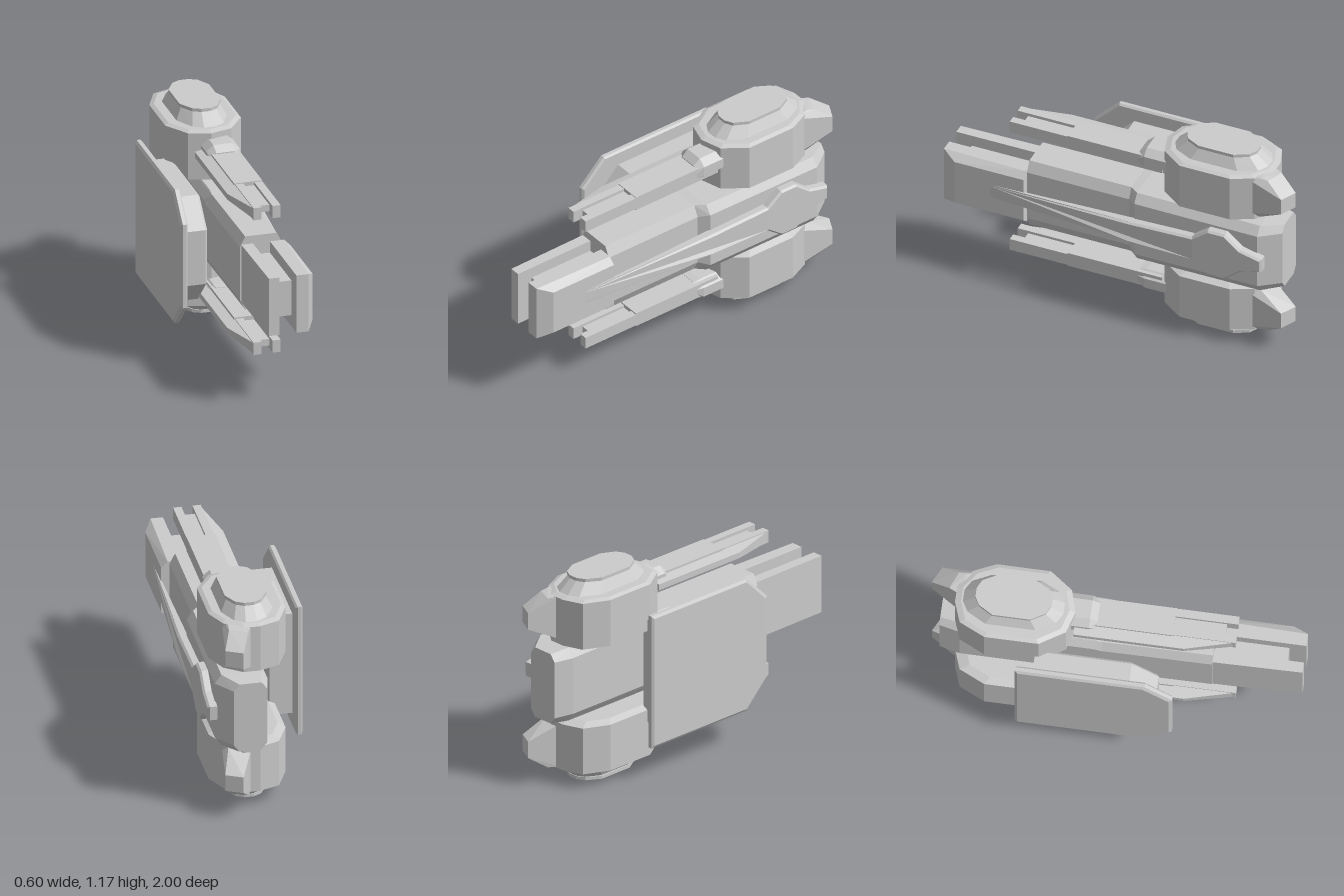
import * as THREE from 'three';
import { ConvexGeometry } from 'three/addons/geometries/ConvexGeometry.js';

const MID = 0.5875; // height of the mirror plane between upper and lower halves

export function createModel() {
  const model = new THREE.Group();
  const mat = new THREE.MeshStandardMaterial({ color: 0xcccccc, flatShading: true });

  function add(parent, name, geometry) {
    const mesh = new THREE.Mesh(geometry, mat);
    mesh.name = name;
    parent.add(mesh);
    return mesh;
  }
  // Convex solid spanning several rings of [x, y, z] points
  const hull = (...rings) =>
    new ConvexGeometry(rings.flat().map((p) => new THREE.Vector3(...p)));
  const box = (x0, x1, y0, y1, z0, z1) =>
    new THREE.BoxGeometry(x1 - x0, y1 - y0, z1 - z0)
      .translate((x0 + x1) / 2, (y0 + y1) / 2, (z0 + z1) / 2);
  // Cross-section in x and y with cut corners, at depth z
  const section = (z, x0, x1, y0, y1, cx, cy) => [
    [x0 + cx, y0, z], [x1 - cx, y0, z], [x1, y0 + cy, z], [x1, y1 - cy, z],
    [x1 - cx, y1, z], [x0 + cx, y1, z], [x0, y1 - cy, z], [x0, y0 + cy, z],
  ];
  // Plan outline [x, z] placed at height y
  const plan = (y, pts) => pts.map(([x, z]) => [x, y, z]);
  // Side outline [z, y] placed at x
  const side = (x, pts) => pts.map(([z, y]) => [x, y, z]);

  // --- Central body ---
  const body = new THREE.Group();
  body.name = 'centralBody';
  model.add(body);
  add(body, 'frontBlock', hull(
    section(0.52, -0.03, 0.205, 0.38, 0.8, 0.03, 0.06),
    section(-0.1, -0.035, 0.205, 0.38, 0.8, 0.03, 0.06)));
  add(body, 'rearBlock', hull(
    section(-0.07, -0.035, 0.205, 0.38, 0.8, 0.03, 0.06),
    section(-0.12, -0.035, 0.25, 0.375, 0.805, 0.035, 0.05),
    section(-0.83, -0.035, 0.25, 0.375, 0.8, 0.035, 0.05),
    section(-0.94, -0.01, 0.17, 0.385, 0.79, 0.03, 0.04)));
  add(body, 'leftProng', hull(
    plan(0.425, [[-0.022, 0.5], [-0.015, 1], [0.043, 1], [0.043, 0.5]]),
    plan(0.755, [[-0.022, 0.5], [-0.015, 1], [0.043, 1], [0.043, 0.5]])));
  const prongTop = [[0.137, 0.52], [0.137, 1], [0.205, 1], [0.215, 0.52]];
  add(body, 'rightProng', hull(
    plan(0.425, prongTop), plan(0.755, prongTop),
    plan(0.455, [[0.25, 0.92], [0.25, 0.52]]),
    plan(0.72, [[0.25, 0.92], [0.25, 0.52]])));
  add(body, 'barrelCore', box(0.04, 0.14, 0.49, 0.69, 0.45, 0.91));

  // --- Side rail with its widened pad ---
  const upper = [[0.72, 0.04], [-0.1, 0.065], [-0.47, 0.075], [-0.56, 0.145],
    [-0.66, 0.145], [-0.75, 0.07], [-0.87, 0.04]];
  const outline = [...upper, ...upper.slice().reverse().map(([z, h]) => [z, -h])];
  const railShape = new THREE.Shape(outline.map(([z, h]) => new THREE.Vector2(z, 0.593 + h)));
  const rail = new THREE.ExtrudeGeometry(railShape, {
    depth: 0.04, bevelEnabled: true, bevelThickness: 0.012, bevelSize: 0.01,
    bevelOffset: -0.01, bevelSegments: 1,
  });
  const rp = rail.attributes.position;
  for (let i = 0; i < rp.count; i++) {
    const z = rp.getX(i), y = rp.getY(i), d = rp.getZ(i);
    // The rail thins toward its front tip
    const thin = THREE.MathUtils.clamp((0.75 - z) / 0.8, 0.1, 1);
    rp.setXYZ(i, 0.245 + Math.max(d, 0) * thin, y, z);
  }
  // Swapping the x and z axes reverses the faces, so turn them back
  for (let i = 0; i < rp.count; i += 3) {
    const a = [rp.getX(i), rp.getY(i), rp.getZ(i)];
    rp.setXYZ(i, rp.getX(i + 1), rp.getY(i + 1), rp.getZ(i + 1));
    rp.setXYZ(i + 1, ...a);
  }
  rail.computeVertexNormals();
  add(model, 'sideRail', rail);

  // --- Shield on the right-hand side ---
  const shield = new THREE.Group();
  shield.name = 'shield';
  model.add(shield);
  const cutPlate = (zb, zf, h, c) => [
    [zb, MID - h], [zb, MID + h], [zf - c, MID + h],
    [zf, MID + h - c], [zf, MID - h + c], [zf - c, MID - h]];
  add(shield, 'shieldPlate', hull(
    side(-0.3, cutPlate(-0.485, 0.325, 0.37, 0.14)),
    side(-0.29, cutPlate(-0.5, 0.34, 0.385, 0.145)),
    side(-0.27, cutPlate(-0.5, 0.34, 0.385, 0.145)),
    side(-0.26, cutPlate(-0.49, 0.33, 0.375, 0.14))));
  add(shield, 'shieldMount', hull(
    side(-0.262, cutPlate(-0.41, 0.25, 0.3, 0.145)),
    side(-0.137, cutPlate(-0.41, 0.25, 0.3, 0.145)),
    side(-0.125, cutPlate(-0.4, 0.24, 0.29, 0.14))));

  // --- Pod and small gun, built above and mirrored below ---
  const podPlan = [[-0.165, -0.39], [-0.165, -0.68], [-0.1, -0.82], [0.01, -0.86],
    [0.1, -0.86], [0.195, -0.79], [0.25, -0.67], [0.25, -0.38], [0.16, -0.255],
    [0.04, -0.22], [-0.08, -0.255]];
  const capPlan = [[-1, -0.5], [-0.6, -0.88], [-0.2, -1], [0.25, -1], [0.65, -0.88],
    [1, -0.5], [1, 0.5], [0.65, 0.88], [0.25, 1], [-0.2, 1], [-0.6, 0.88], [-1, 0.5]];
  const podRing = (y, s) =>
    plan(y, podPlan.map(([x, z]) => [0.042 + (x - 0.042) * s, -0.54 + (z + 0.54) * s]));
  const capRing = (y, rx, rz) =>
    plan(y, capPlan.map(([x, z]) => [0.045 + x * rx, -0.55 + z * rz]));

  for (const [name, flip] of [['upper', 1], ['lower', -1]]) {
    const half = new THREE.Group();
    half.name = name + 'Half';
    half.scale.y = flip;
    half.position.y = flip > 0 ? 0 : 2 * MID;
    model.add(half);

    add(half, 'pod', hull(
      podRing(0.8, 0.82), podRing(0.818, 1), podRing(1.085, 1), podRing(1.095, 0.9)));
    add(half, 'podCap', hull(capRing(1.085, 0.145, 0.28), capRing(1.16, 0.103, 0.195)));
    add(half, 'podLip', hull(capRing(1.157, 0.113, 0.202), capRing(1.175, 0.113, 0.202)));

    // Angled fin at the back of the pod
    const finRoot = [[0.04, -0.74], [0.19, -0.7], [0.175, -0.82], [0.05, -0.83]];
    const finTip = [[0.13, -1], [0.22, -0.955]];
    add(half, 'podFin', hull(
      plan(0.83, finRoot), plan(1.088, finRoot),
      plan(1.08, [[0.085, -0.9], [0.18, -0.86]]),
      plan(0.915, finTip), plan(1.01, finTip)));

    // Small gun in front of the pod
    const gun = new THREE.Group();
    gun.name = 'smallGun';
    half.add(gun);
    add(gun, 'gunHousing', hull(
      section(-0.3, -0.015, 0.17, 0.925, 1.052, 0.04, 0.035),
      section(-0.14, -0.015, 0.17, 0.925, 1.052, 0.04, 0.035),
      section(-0.1, 0.0, 0.16, 0.93, 1.02, 0.03, 0.03)));
    add(gun, 'gunBlock', box(0.005, 0.16, 0.932, 1.015, -0.24, 0.305));
    for (const [x0, x1] of [[0.01, 0.055], [0.115, 0.16]])
      add(gun, 'gunProng', box(x0, x1, 0.94, 1.01, 0.3, 0.64));
    add(gun, 'gunCore', box(0.05, 0.12, 0.955, 0.993, 0.28, 0.58));
    add(gun, 'gunSideFin', hull(
      plan(0.957, [[-0.053, -0.22], [-0.053, 0.37], [-0.035, 0.37]]),
      plan(0.99, [[-0.053, -0.22], [-0.053, 0.37], [-0.035, 0.37]]),
      plan(0.945, [[0.012, -0.22], [0.012, 0.63]]),
      plan(1.005, [[0.012, -0.22], [0.012, 0.63]])));
  }
  return model;
}
